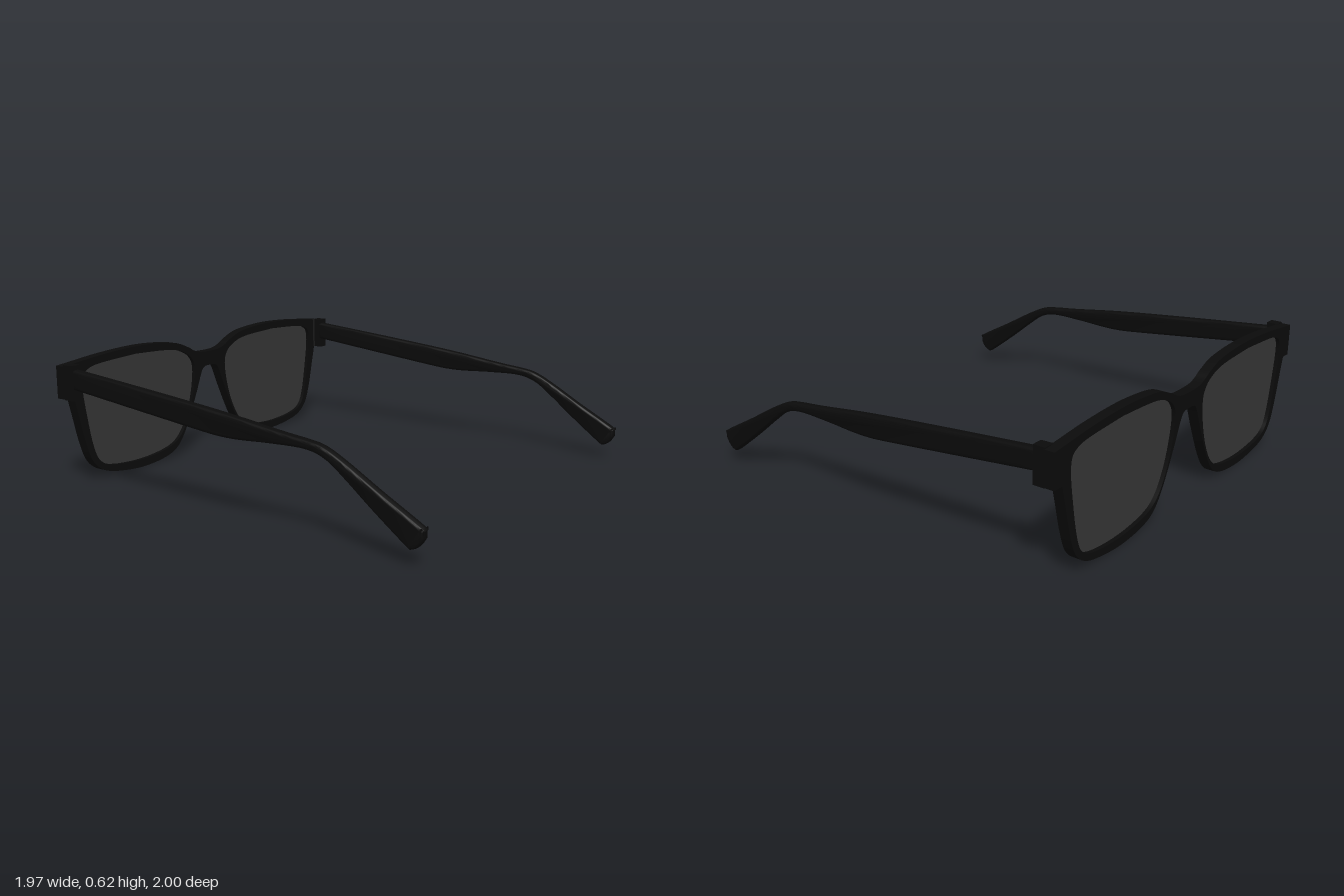
import * as THREE from 'three';
import { toCreasedNormals } from 'three/addons/utils/BufferGeometryUtils.js';

const vectors = (pts) => pts.map(([a, b]) => new THREE.Vector2(a, b));
const smooth = (pts, n) => new THREE.SplineCurve(vectors(pts)).getPoints(n);
const mirror = (pts) => pts.map((p) => new THREE.Vector2(-p.x, p.y)).reverse();

// Half outlines of the frame front, as [z, y]
const BROW = [[0, 0.525], [0.07, 0.528], [0.12, 0.542], [0.17, 0.568], [0.26, 0.6], [0.4, 0.616],
  [0.55, 0.62], [0.75, 0.61], [0.93, 0.592], [1, 0.585]];
const RIM = [[0.948, 0.43], [0.925, 0.34], [0.89, 0.2], [0.85, 0.1], [0.78, 0.042], [0.67, 0.014],
  [0.51, 0.001], [0.35, 0.018], [0.26, 0.06], [0.19, 0.155], [0.115, 0.31], [0.07, 0.415], [0.045, 0.445], [0, 0.45]];
const LENS = [[0.54, 0.583], [0.3, 0.57], [0.19, 0.54], [0.135, 0.495], [0.12, 0.43], [0.14, 0.31], [0.18, 0.2],
  [0.24, 0.11], [0.33, 0.062], [0.51, 0.041], [0.7, 0.053], [0.8, 0.09], [0.845, 0.18], [0.88, 0.36],
  [0.893, 0.46], [0.888, 0.52], [0.86, 0.55], [0.78, 0.57], [0.54, 0.583]];

// Temple edges, as [x, y]
const TEMPLE_TOP = [[-0.9, 0.572], [-0.4, 0.524], [0, 0.482], [0.3, 0.442], [0.44, 0.426], [0.52, 0.41],
  [0.62, 0.362], [0.78, 0.27], [0.965, 0.168], [0.98, 0.15]];
const TEMPLE_BOTTOM = [[0.98, 0.12], [0.955, 0.085], [0.925, 0.07], [0.9, 0.08], [0.75, 0.193], [0.62, 0.297],
  [0.53, 0.36], [0.43, 0.388], [0.25, 0.386], [0.1, 0.378], [0, 0.378], [-0.1, 0.386], [-0.4, 0.42], [-0.9, 0.478]];

// Extrusion whose bevel stays inside the outline
function slab(shape, depth, bevel, segments = 1) {
  const geometry = new THREE.ExtrudeGeometry(shape, {
    depth: depth - 2 * bevel, bevelEnabled: bevel > 0, bevelSize: bevel, bevelThickness: bevel,
    bevelOffset: -bevel, bevelSegments: segments,
  });
  geometry.translate(0, 0, bevel);
  return toCreasedNormals(geometry, 0.6);
}

export function createModel() {
  const model = new THREE.Group();
  model.name = 'sunglasses';
  const frameMaterial = new THREE.MeshStandardMaterial({ color: 0x0b0b0b });
  const lensMaterial = new THREE.MeshStandardMaterial({ color: 0x363636 });
  const add = (name, geometry, material = frameMaterial) => {
    const mesh = new THREE.Mesh(geometry, material);
    mesh.name = name;
    model.add(mesh);
    return mesh;
  };

  // Frame front: mirrored outline with two lens openings, facing -x
  const half = [...smooth(BROW, 50), new THREE.Vector2(1, 0.43), ...smooth(RIM, 70)];
  const frame = new THREE.Shape([...half, ...mirror(half).slice(1, -1)]);
  const opening = smooth(LENS, 80).slice(0, -1);
  const openings = [opening, mirror(opening)];
  frame.holes = openings.map((points) => new THREE.Path(points));
  const front = add('frameFront', slab(frame, 0.05, 0));
  front.rotation.y = -Math.PI / 2;
  front.position.x = -0.935;

  [1, -1].forEach((side, i) => {
    const prefix = side > 0 ? 'front' : 'back';

    // Thin lens set in the middle of the rim
    const lens = add(prefix + 'Lens', slab(new THREE.Shape(openings[i]), 0.012, 0), lensMaterial);
    lens.rotation.y = -Math.PI / 2;
    lens.position.x = -0.954;

    // Hinge block behind the outer corner, with a chamfered inner edge
    const plan = new THREE.Shape(vectors([[-0.94, 0.935 * side], [-0.928, 0.945 * side],
      [-0.885, 0.948 * side], [-0.885, 0.998 * side], [-0.94, 0.998 * side]]));
    const hinge = add(prefix + 'Hinge', slab(plan, 0.165, 0));
    hinge.rotation.x = Math.PI / 2;
    hinge.position.y = 0.592;

    // Temple arm with rounded edges, curving down to the ear tip
    const arm = new THREE.Shape([...smooth(TEMPLE_TOP, 50), ...smooth(TEMPLE_BOTTOM, 60)]);
    const temple = add(prefix + 'Temple', slab(arm, 0.045, 0.014, 4));
    temple.position.z = side * 0.967 - 0.0225;
  });

  return model;
}
